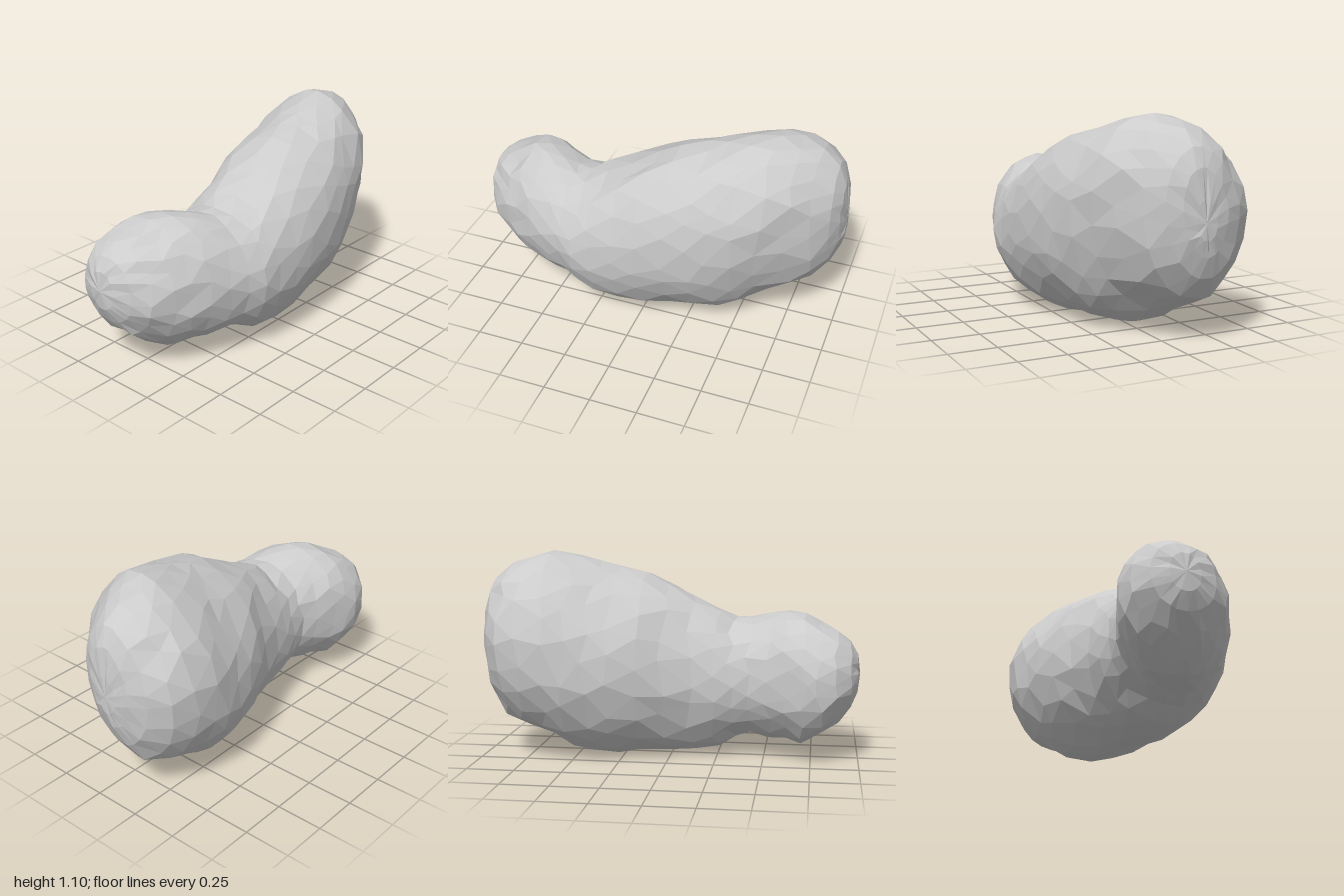
import * as THREE from 'three';

// Cross-sections along the body: x, bottom y, top y, back z, front z
const SECTIONS = [
  [-0.985, 0.37, 0.57, -0.13, 0.03],
  [-0.95, 0.29, 0.64, -0.21, 0.12],
  [-0.88, 0.21, 0.69, -0.28, 0.20],
  [-0.79, 0.13, 0.73, -0.30, 0.26],
  [-0.71, 0.08, 0.775, -0.29, 0.30],
  [-0.62, 0.095, 0.785, -0.26, 0.34],
  [-0.52, 0.09, 0.765, -0.22, 0.38],
  [-0.42, 0.11, 0.735, -0.19, 0.41],
  [-0.33, 0.08, 0.74, -0.20, 0.445],
  [-0.24, 0.025, 0.785, -0.22, 0.45],
  [-0.12, 0.005, 0.85, -0.24, 0.455],
  [0.02, 0.0, 0.92, -0.29, 0.455],
  [0.16, 0.01, 0.98, -0.35, 0.45],
  [0.29, 0.0, 1.015, -0.40, 0.43],
  [0.40, 0.005, 1.04, -0.425, 0.405],
  [0.51, 0.04, 1.07, -0.45, 0.37],
  [0.63, 0.11, 1.10, -0.46, 0.32],
  [0.75, 0.165, 1.075, -0.45, 0.25],
  [0.86, 0.215, 1.035, -0.40, 0.17],
  [0.94, 0.33, 0.96, -0.31, 0.09],
  [0.98, 0.44, 0.87, -0.22, 0.02],
  [0.995, 0.52, 0.72, -0.15, -0.04],
];
const SIDES = 20;

function seeded(seed) {
  return () => {
    seed = (seed * 16807) % 2147483647;
    return seed / 2147483647;
  };
}

const signedPow = (v, power) => Math.sign(v) * Math.pow(Math.abs(v), power);

function bodyGeometry() {
  const rand = seeded(77);
  const positions = [];
  const index = [];
  const last = SECTIONS.length - 1;

  // Staggered rings, nudged along the surface for uneven facets
  SECTIONS.forEach(([x, y0, y1, z0, z1], i) => {
    const swell = THREE.MathUtils.smoothstep(x, -0.2, 0.4);
    const slide = i > 1 && i < last - 2 ? 0.045 : 0.01;
    for (let j = 0; j < SIDES; j++) {
      const a = ((j + (i % 2) * 0.5 + (rand() - 0.5) * 0.5) / SIDES) * Math.PI * 2;
      const s = signedPow(Math.sin(a), 0.97);
      // The back of the large end is leaner than its front
      const back = Math.cos(a) < 0;
      const c = signedPow(Math.cos(a), back ? 0.9 + 0.25 * swell : 0.95 + 0.08 * swell);
      const lean = (s > 0 ? 0.06 : 0.03) * swell * (y1 - y0);
      const r = 1 + (rand() - 0.5) * 0.02;
      positions.push(
        x + (rand() - 0.5) * slide,
        Math.max(0, (y0 + y1) / 2 + (s * r * (y1 - y0)) / 2),
        (z0 + z1) / 2 + (c * r * (z1 - z0)) / 2 + lean * s,
      );
    }
  });

  // Skin between neighbouring rings
  for (let i = 0; i < last; i++) {
    for (let j = 0; j < SIDES; j++) {
      const k = (j + 1) % SIDES;
      const a = i * SIDES + j, b = a + SIDES;
      const c = i * SIDES + k, d = c + SIDES;
      if (i % 2) index.push(a, b, d, a, d, c);
      else index.push(a, b, c, b, d, c);
    }
  }

  // Blunt end caps
  const leftTip = positions.length / 3;
  positions.push(-1, 0.47, -0.05, 1, 0.61, -0.09);
  for (let j = 0; j < SIDES; j++) {
    const k = (j + 1) % SIDES;
    index.push(leftTip, j, k);
    index.push(leftTip + 1, last * SIDES + k, last * SIDES + j);
  }

  const geometry = new THREE.BufferGeometry();
  geometry.setAttribute('position', new THREE.Float32BufferAttribute(positions, 3));
  geometry.setIndex(index);
  geometry.computeVertexNormals();
  return geometry;
}

export function createModel() {
  const group = new THREE.Group();
  group.name = 'curvedStone';
  const material = new THREE.MeshStandardMaterial({ color: 0xcccccc, flatShading: true });
  const body = new THREE.Mesh(bodyGeometry(), material);
  body.name = 'stoneBody';
  group.add(body);
  return group;
}
